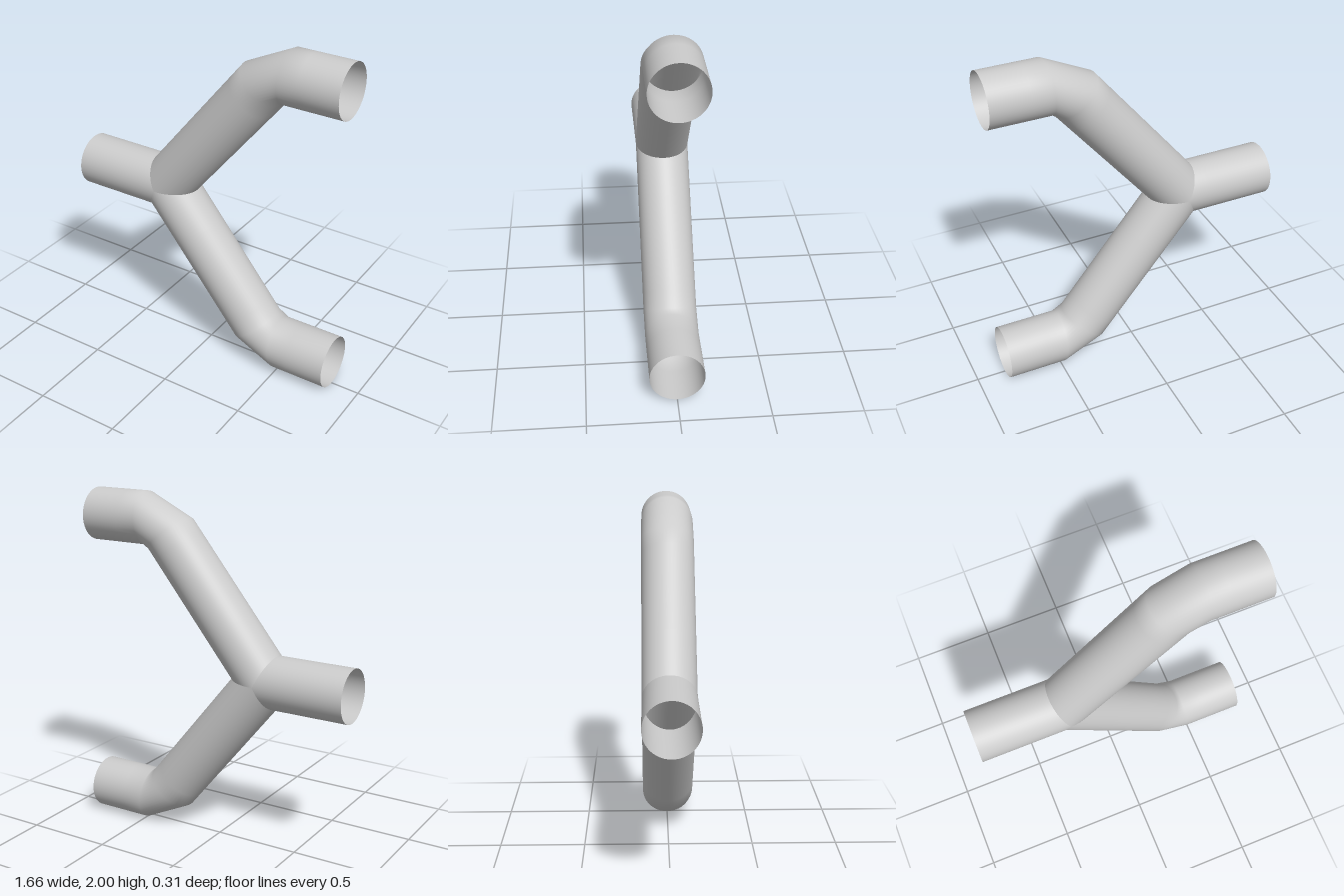
import * as THREE from 'three';

const R = 0.153;          // pipe radius
const SEG = 48;           // sides around the pipe
const MID = 1;            // height of the inlet axis
const JX = -0.297;        // x where the three axes meet
const DIR = new THREE.Vector2(1, 1.235).normalize(); // slope of a branch

// One ring around centre (x, y), facing along dir; shift(p) slides a point along dir.
function ring(x, y, dir, shift = () => 0) {
  return Array.from({ length: SEG }, (_, j) => {
    const a = (j / SEG) * Math.PI * 2;
    const c = Math.cos(a) * R;
    const p = new THREE.Vector3(x - dir.y * c, y + dir.x * c, Math.sin(a) * R);
    const t = shift(p);
    p.x += dir.x * t;
    p.y += dir.y * t;
    return p;
  });
}

// Open pipe wall joining successive rings; mirrored flips it about the inlet axis.
function pipe(rings, mirrored = false) {
  const pos = [], index = [];
  rings.flat().forEach(p => pos.push(p.x, mirrored ? 2 * MID - p.y : p.y, p.z));
  for (let i = 0; i < rings.length - 1; i++) {
    for (let j = 0; j < SEG; j++) {
      const k = (j + 1) % SEG;
      const a = i * SEG + j, b = i * SEG + k, c = b + SEG, d = a + SEG;
      if (mirrored) index.push(a, c, b, a, d, c);
      else index.push(a, b, c, a, c, d);
    }
  }
  const g = new THREE.BufferGeometry();
  g.setAttribute('position', new THREE.Float32BufferAttribute(pos, 3));
  g.setIndex(index);
  g.computeVertexNormals();
  return g;
}

export function createModel() {
  const group = new THREE.Group();
  group.name = 'forkedPipe';
  const material = new THREE.MeshStandardMaterial({ color: 0xcccccc, side: THREE.DoubleSide });
  const add = (name, geometry) => {
    const mesh = new THREE.Mesh(geometry, material);
    mesh.name = name;
    group.add(mesh);
  };

  // Inlet, cut to a point on the mitre planes of both branches
  const along = new THREE.Vector2(1, 0);
  const inletCut = p => JX - p.x - Math.abs(p.y - MID) * DIR.y / (1 + DIR.x);
  add('inletPipe', pipe([
    ring(-0.83, MID, along),
    ring(-0.42, MID, along),
    ring(JX, MID, along, inletCut),
  ]));

  // Branch, mitred against the inlet and against its mirror image
  const branchCut = p => {
    const toMiddle = (MID - p.y) / DIR.y;
    const nx = 1 + DIR.x, ny = DIR.y;
    const toInlet = -((p.x - JX) * nx + (p.y - MID) * ny) / (DIR.x * nx + DIR.y * ny);
    return Math.max(toMiddle, toInlet);
  };
  const onBranch = x => ring(x, MID + (x - JX) * DIR.y / DIR.x, DIR);
  const outletY = 2 - R;
  const branch = [
    ring(JX, MID, DIR, branchCut),
    onBranch(-0.08),
    onBranch(0.26),
    onBranch(0.325),
    ring(0.48, outletY, new THREE.Vector2(1, -0.05).normalize()), // end of the bend
    ring(0.6, outletY, along),
    ring(0.83, outletY, along),
  ];
  add('upperBranch', pipe(branch));
  add('lowerBranch', pipe(branch, true));
  return group;
}
